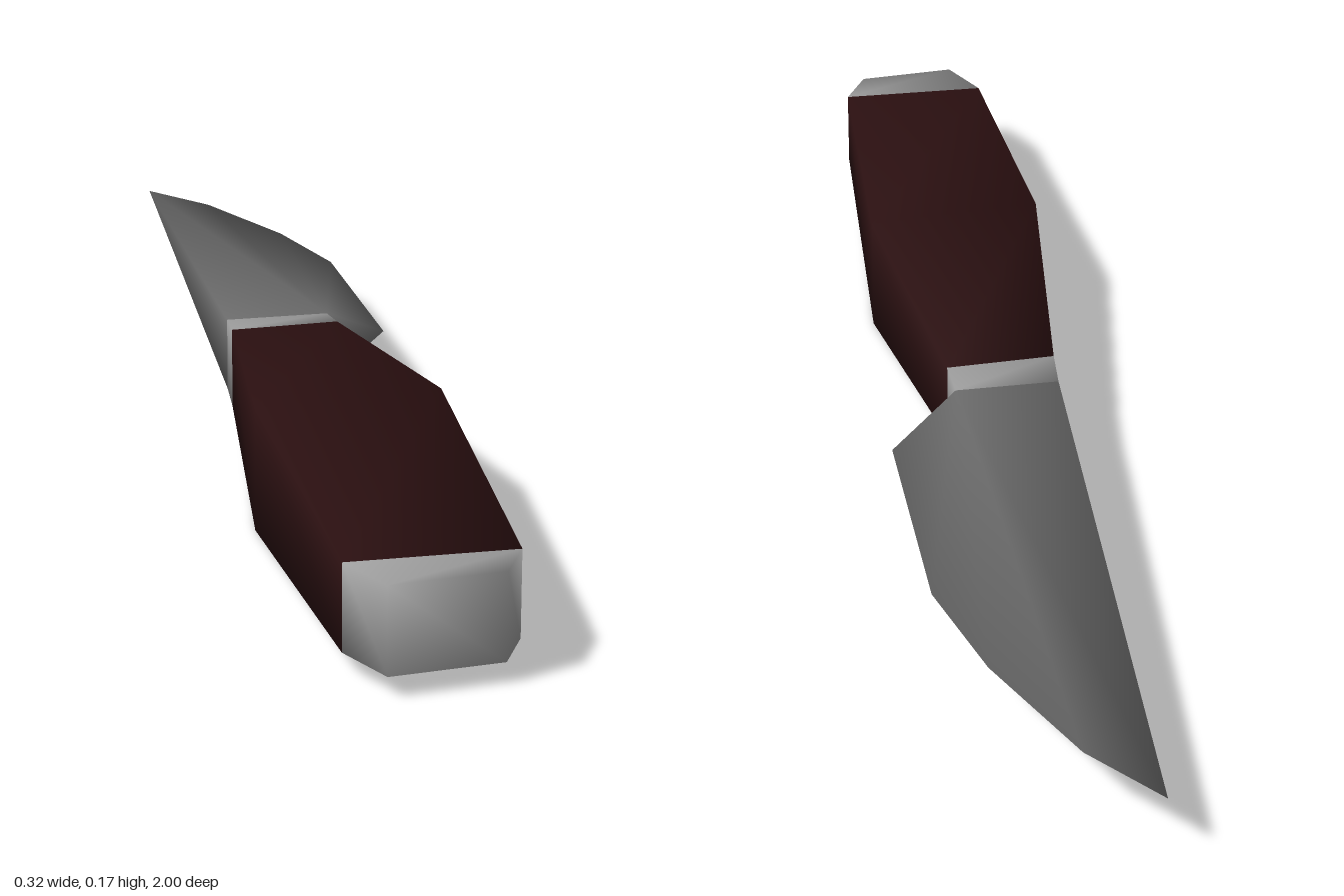
import * as THREE from 'three';

const MID = 0.085; // height of the knife's centre plane

function makeMesh(name, points, index, material) {
  const g = new THREE.BufferGeometry();
  g.setAttribute('position', new THREE.Float32BufferAttribute(points.flat(), 3));
  g.setIndex(index);
  g.computeVertexNormals();
  const mesh = new THREE.Mesh(g, material);
  mesh.name = name;
  return mesh;
}

// Rectangular loft; each section is [xLow, zLow, xHigh, zHigh, halfHeight], from back to front
function loft(name, sections, material, capFront = false) {
  const points = [], index = [];
  for (const [xa, za, xb, zb, h] of sections) {
    points.push([xb, MID - h, zb], [xb, MID + h, zb], [xa, MID + h, za], [xa, MID - h, za]);
  }
  for (let s = 0; s < sections.length - 1; s++) {
    for (let i = 0; i < 4; i++) {
      const a = s * 4 + i, b = s * 4 + (i + 1) % 4;
      index.push(a, b, b + 4, a, b + 4, a + 4);
    }
  }
  if (capFront) {
    const k = (sections.length - 1) * 4;
    index.push(k, k + 1, k + 2, k, k + 2, k + 3);
  }
  return makeMesh(name, points, index, material);
}

export function createModel() {
  const wood = new THREE.MeshStandardMaterial({ color: 0x2a0f10 });
  wood.name = 'dark wood';
  const metal = new THREE.MeshStandardMaterial({ color: 0x999999 });
  metal.name = 'light metal';
  const steel = new THREE.MeshStandardMaterial({ color: 0x6a6a6a });
  steel.name = 'blade steel';

  // Shared sections, so neighbouring parts meet exactly
  const bladeRoot = [-0.097, -0.075, 0.05, -0.075, 0.052];
  const handleBack = [-0.103, -0.01, 0.052, -0.017, 0.057];
  const handleMid = [-0.16, 0.42, 0.097, 0.395, 0.085];
  const handleFront = [-0.16, 0.917, 0.058, 0.92, 0.057];
  const pommelEnd = [-0.125, 1, 0.022, 0.987, 0.057];

  const model = new THREE.Group();
  model.name = 'knife';
  model.add(loft('handle', [handleBack, handleMid, handleFront], wood));
  model.add(loft('bolster', [bladeRoot, handleBack], metal));
  model.add(loft('pommel', [handleFront, pommelEnd], metal, true));

  // Blade: thick spine and root narrowing to a sharp edge and tip
  const [xa, za, xb, zb, h] = bladeRoot;
  const edge = [[0.15, -0.135], [0.157, -0.51], [0.115, -0.69], [0.035, -0.89], [-0.045, -1]];
  const points = [
    [xa, MID + h, za], [xa, MID - h, za], [xb, MID + h, zb], [xb, MID - h, zb],
    ...edge.map(([x, z]) => [x, MID, z]),
  ];
  const tip = points.length - 1;
  const index = [0, 2, tip, 1, tip, 3, 0, tip, 1, 2, 3, 4]; // flats, spine, heel
  for (let i = 4; i < tip; i++) index.push(2, i, i + 1, 3, i + 1, i);
  model.add(makeMesh('blade', points, index, steel));

  return model;
}
